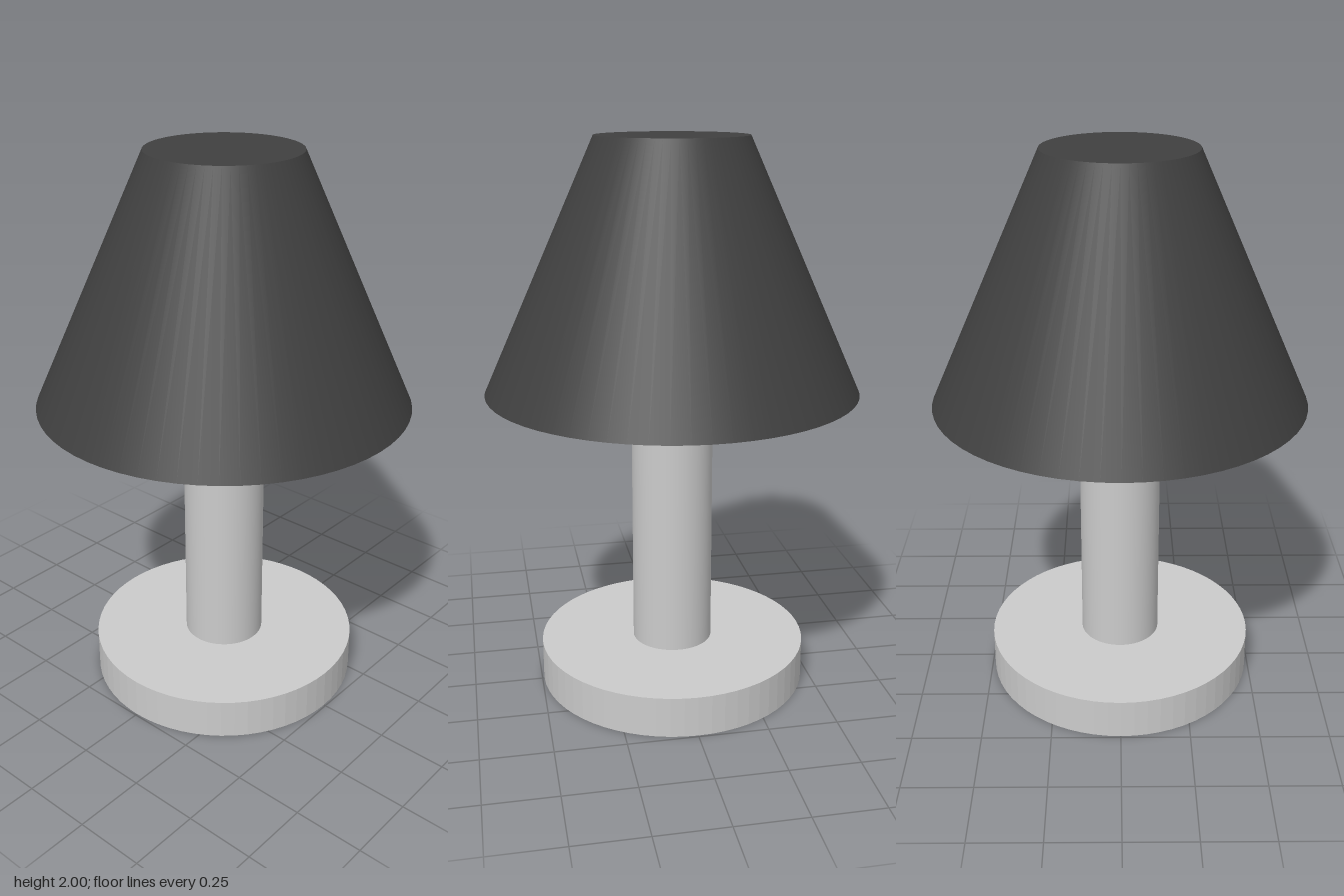
import * as THREE from 'three';

export function createModel() {
  const lamp = new THREE.Group();
  lamp.name = 'tableLamp';

  const grey = new THREE.MeshStandardMaterial({ color: 0xcccccc });
  const greyFlat = new THREE.MeshStandardMaterial({ color: 0xcccccc, flatShading: true });
  const dark = new THREE.MeshStandardMaterial({ color: 0x404040 });

  // Upright closed cylinder or cone frustum between two heights
  function addRound(name, topRadius, bottomRadius, y0, y1, material) {
    const geometry = new THREE.CylinderGeometry(topRadius, bottomRadius, y1 - y0, 64);
    const mesh = new THREE.Mesh(geometry, material);
    mesh.name = name;
    mesh.position.y = (y0 + y1) / 2;
    lamp.add(mesh);
  }

  addRound('base', 0.493, 0.493, 0, 0.148, greyFlat);
  addRound('stem', 0.147, 0.147, 0.148, 1.115, grey);
  addRound('shade', 0.267, 0.666, 1.115, 2, dark);

  return lamp;
}
